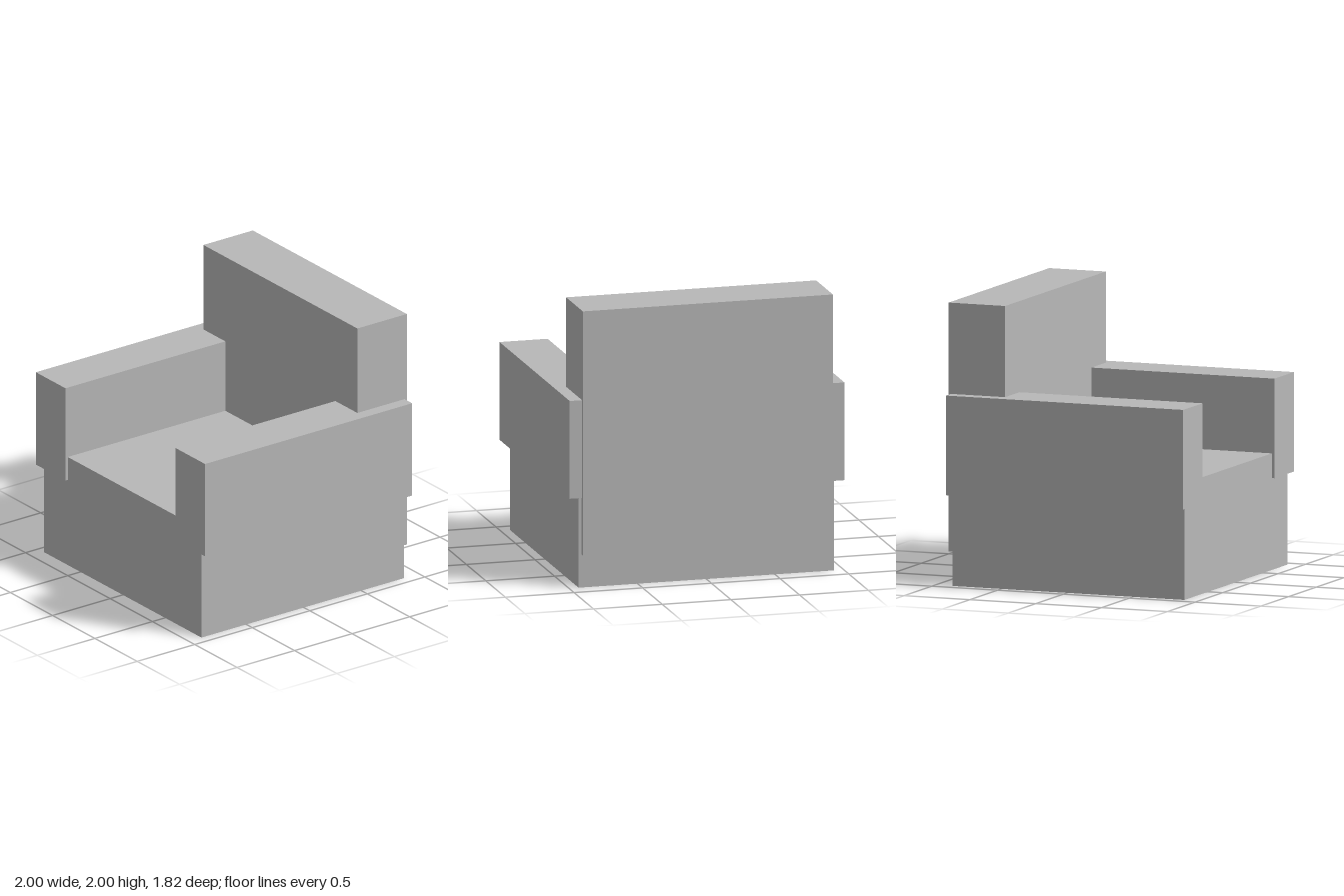
import * as THREE from 'three';

export function createModel() {
  const chair = new THREE.Group();
  chair.name = 'armchair';

  const upholstery = new THREE.MeshStandardMaterial({ color: 0xb8b8b8 });
  upholstery.name = 'grey upholstery';

  // Box given by its extents along each axis
  const block = (name, [x0, x1], [y0, y1], [z0, z1]) => {
    const mesh = new THREE.Mesh(new THREE.BoxGeometry(x1 - x0, y1 - y0, z1 - z0), upholstery);
    mesh.position.set((x0 + x1) / 2, (y0 + y1) / 2, (z0 + z1) / 2);
    mesh.name = name;
    chair.add(mesh);
  };

  // Solid base whose top is the seat
  block('seatBase', [-0.93, 0.93], [0, 0.825], [-0.87, 0.89]);

  // Tall backrest, hanging slightly behind the base
  block('backrest', [-0.91, 0.91], [0.24, 2], [-0.91, -0.48]);

  // Armrests overhanging the base on both sides
  block('leftArmrest', [0.65, 1], [0.65, 1.355], [-0.89, 0.91]);
  block('rightArmrest', [-1, -0.65], [0.65, 1.355], [-0.89, 0.91]);

  return chair;
}
